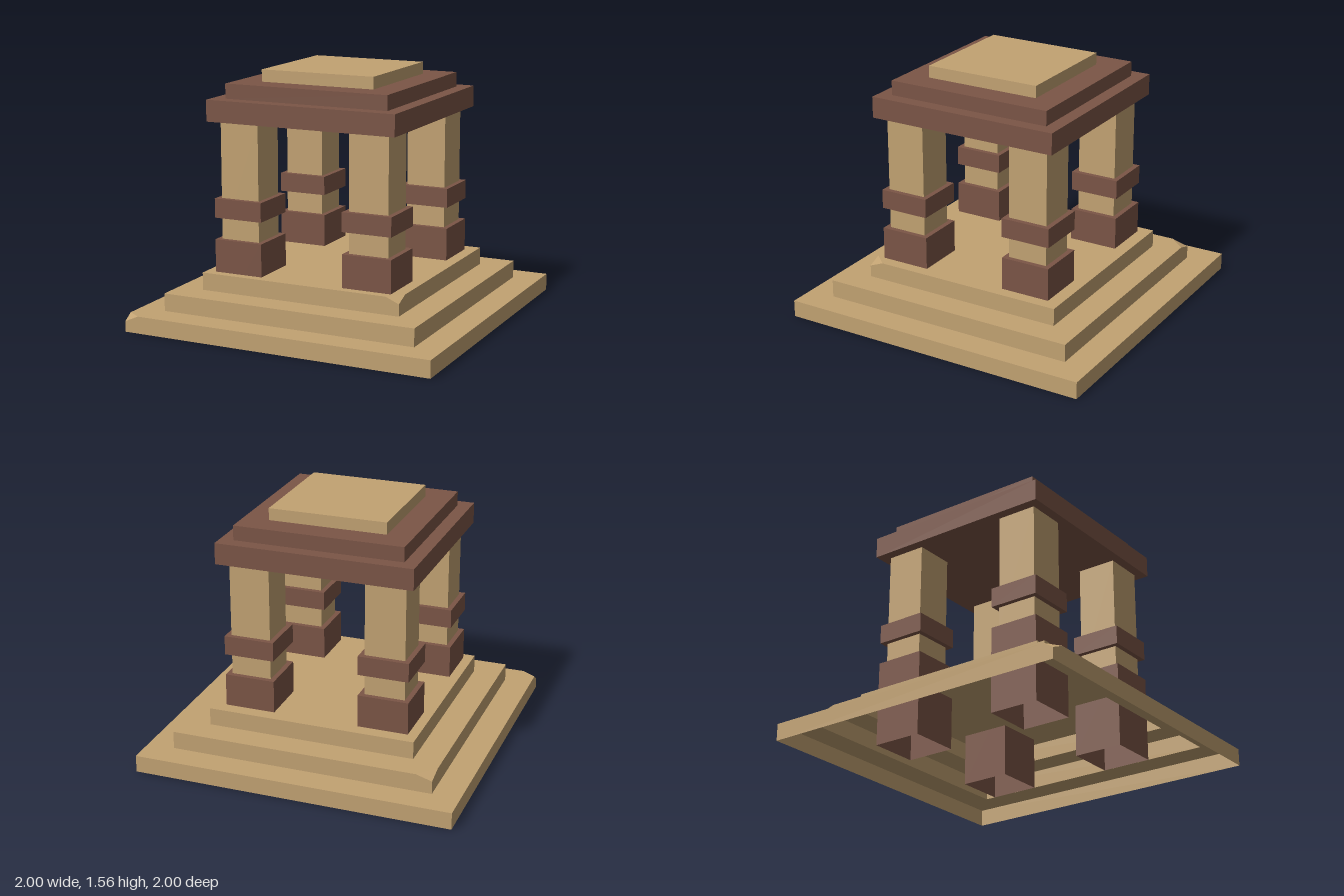
import * as THREE from 'three';

const sand = new THREE.MeshStandardMaterial({ name: 'sandstone', color: 0xc2a272, side: THREE.DoubleSide });
const brick = new THREE.MeshStandardMaterial({ name: 'brownStone', color: 0x7b5546, side: THREE.DoubleSide });

// corner signs (x, z), counter-clockwise seen from above
const CORNERS = [[-1, 1], [1, 1], [1, -1], [-1, -1]];

function block(name, mat, size, y0, y1, x = 0, z = 0) {
  const mesh = new THREE.Mesh(new THREE.BoxGeometry(size, y1 - y0, size), mat);
  mesh.position.set(x, (y0 + y1) / 2, z);
  mesh.name = name;
  return mesh;
}

// hollow step: four walls and a tread ring, with one chipped corner
function step(name, half, y0, y1, innerHalf, chip) {
  const group = new THREE.Group();
  group.name = name;
  const V = (x, y, z) => new THREE.Vector3(x, y, z);
  const pts = [];
  const fan = (poly) => {
    for (let i = 1; i < poly.length - 1; i++) pts.push(poly[0], poly[i], poly[i + 1]);
  };
  const at = (i, y) => V(CORNERS[i][0] * half, y, CORNERS[i][1] * half);
  // top point of corner i, moved along its x or z edge by the chip
  const cut = (i, alongX) => {
    const p = at(i, y1);
    if (alongX) p.x -= CORNERS[i][0] * chip.x;
    else p.z -= CORNERS[i][1] * chip.z;
    return p;
  };
  const outline = [];
  for (let i = 0; i < 4; i++) {
    const j = (i + 1) % 4;
    const alongX = i % 2 === 0;
    const wall = [at(i, y0), at(j, y0)];
    if (j === chip.corner) wall.push(at(j, y1 - chip.down), cut(j, alongX));
    else wall.push(at(j, y1));
    if (i === chip.corner) wall.push(cut(i, alongX), at(i, y1 - chip.down));
    else wall.push(at(i, y1));
    fan(wall);
    if (i === chip.corner) {
      // sloping facet of the broken corner
      fan([at(i, y1 - chip.down), cut(i, alongX), cut(i, !alongX)]);
      outline.push(cut(i, !alongX), cut(i, alongX));
    } else outline.push(at(i, y1));
  }
  const wallGeo = new THREE.BufferGeometry().setFromPoints(pts);
  wallGeo.computeVertexNormals();
  const walls = new THREE.Mesh(wallGeo, sand);
  walls.name = name + 'Walls';

  const shape = new THREE.Shape(outline.map((p) => new THREE.Vector2(p.x, -p.z)));
  if (innerHalf) {
    shape.holes.push(new THREE.Path(CORNERS.map(([x, z]) => new THREE.Vector2(x * innerHalf, -z * innerHalf)).reverse()));
  }
  const tread = new THREE.Mesh(new THREE.ShapeGeometry(shape).rotateX(-Math.PI / 2), sand);
  tread.position.y = y1;
  tread.name = name + 'Tread';
  group.add(walls, tread);
  return group;
}

// column: open-bottomed footing, shaft and collar
function column(x, z) {
  const group = new THREE.Group();
  group.name = 'column';
  const footing = block('footing', brick, 0.317, 0, 0.533);
  const index = Array.from(footing.geometry.index.array);
  index.splice(18, 6); // leave out the bottom face
  footing.geometry.setIndex(index);
  footing.geometry.clearGroups();
  group.add(
    footing,
    block('shaft', sand, 0.253, 0.533, 1.264),
    block('collar', brick, 0.317, 0.668, 0.788)
  );
  group.position.set(x, 0, z);
  return group;
}

export function createModel() {
  const model = new THREE.Group();
  model.name = 'stonePavilion';

  // stepped plinth
  model.add(
    step('lowerStep', 1, 0, 0.107, 0.827, { corner: 0, x: 0.09, z: 0.06, down: 0.04 }),
    step('middleStep', 0.827, 0.107, 0.218, 0.656, { corner: 3, x: 0.1, z: 0.11, down: 0.03 }),
    step('upperStep', 0.656, 0.218, 0.328, 0, { corner: 1, x: 0.085, z: 0.09, down: 0.036 })
  );

  // four columns
  for (const x of [-0.435, 0.422]) for (const z of [-0.414, 0.443]) model.add(column(x, z));

  // stacked roof
  const cx = -0.007, cz = 0.012;
  model.add(
    block('roofSlab', brick, 1.236, 1.263, 1.396, cx, cz),
    block('roofTier', brick, 1.066, 1.396, 1.488, cx, cz),
    block('roofCap', sand, 0.742, 1.488, 1.563, cx, cz)
  );
  return model;
}
